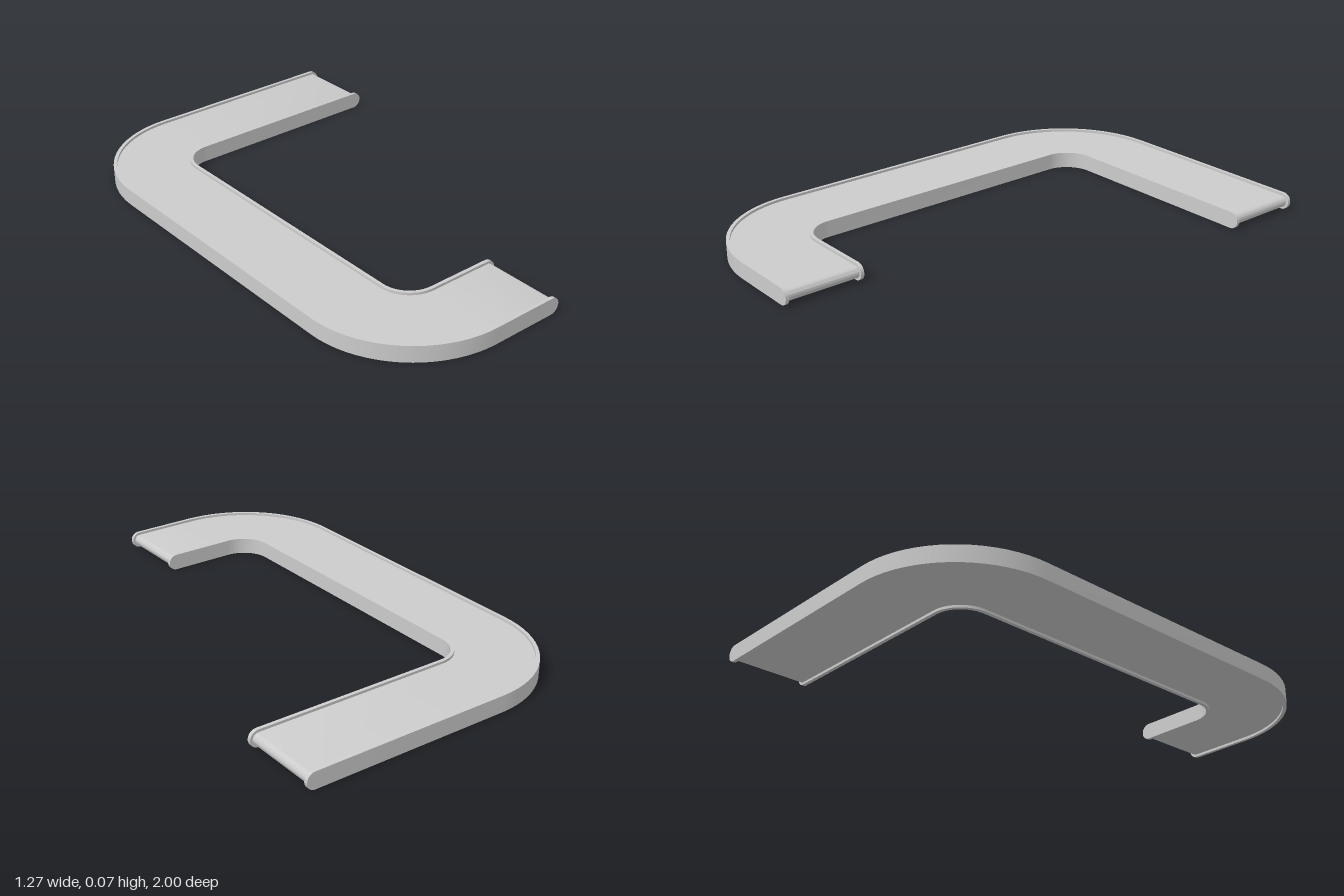
import * as THREE from 'three';
import { toCreasedNormals } from 'three/addons/utils/BufferGeometryUtils.js';

const HALF = 0.033;        // half the overall thickness
const CORNER_X = -0.2;     // both bends turn about (CORNER_X, +-CORNER_Z)
const CORNER_Z = 0.565;
const BACK_END = 0.602;    // where the rounded tips begin
const FRONT_END = 0.064;
const INNER = 0.115, OUTER = 0.435, LIP = 0.014;
const BEND_STEPS = 18, TIP_STEPS = 8;

// Stations along the C-shaped path: position, outward normal, half thickness
function stations(r) {
  const list = [];
  const tip = (endX, side) => {
    const rows = [];
    for (let i = 0; i <= TIP_STEPS; i++) {
      const t = (i / TIP_STEPS) * Math.PI / 2;
      rows.push({ x: endX + r * Math.cos(t), z: side * CORNER_Z, nx: 0, nz: side, h: r * Math.sin(t) });
    }
    return rows;
  };
  const bend = (side) => {
    const rows = [];
    for (let i = 0; i <= BEND_STEPS; i++) {
      const t = (i / BEND_STEPS) * Math.PI / 2;
      rows.push({ x: CORNER_X, z: side * CORNER_Z, nx: -Math.sin(t), nz: side * Math.cos(t), h: r });
    }
    return rows;
  };
  list.push(...tip(BACK_END, -1), ...bend(-1), ...bend(1).reverse(), ...tip(FRONT_END, 1).reverse());
  return list;
}

// Sweep a rectangular section lying between two offsets from the bend centres
function sweep(name, from, to, r, material) {
  const rows = stations(r);
  const positions = [], index = [];
  for (const s of rows) {
    for (const [d, v] of [[from, -1], [to, -1], [to, 1], [from, 1]]) {
      positions.push(s.x + s.nx * d, HALF + v * s.h, s.z + s.nz * d);
    }
  }
  for (let i = 0; i < rows.length - 1; i++) {
    for (let j = 0; j < 4; j++) {
      const k = (j + 1) % 4;
      const a = i * 4 + j, b = a + 4, c = i * 4 + 4 + k, d = i * 4 + k;
      index.push(a, b, c, a, c, d);
    }
  }
  const geometry = new THREE.BufferGeometry();
  geometry.setAttribute('position', new THREE.Float32BufferAttribute(positions, 3));
  geometry.setIndex(index);
  const mesh = new THREE.Mesh(toCreasedNormals(geometry, 0.6), material);
  mesh.name = name;
  return mesh;
}

export function createModel() {
  const group = new THREE.Group();
  group.name = 'bentFlatBand';
  const material = new THREE.MeshStandardMaterial({ color: 0xcccccc });
  // Recessed panel between two full-height edge lips
  group.add(
    sweep('panel', INNER + LIP, OUTER - LIP, HALF - 0.01, material),
    sweep('innerLip', INNER, INNER + LIP, HALF, material),
    sweep('outerLip', OUTER - LIP, OUTER, HALF, material)
  );
  return group;
}
